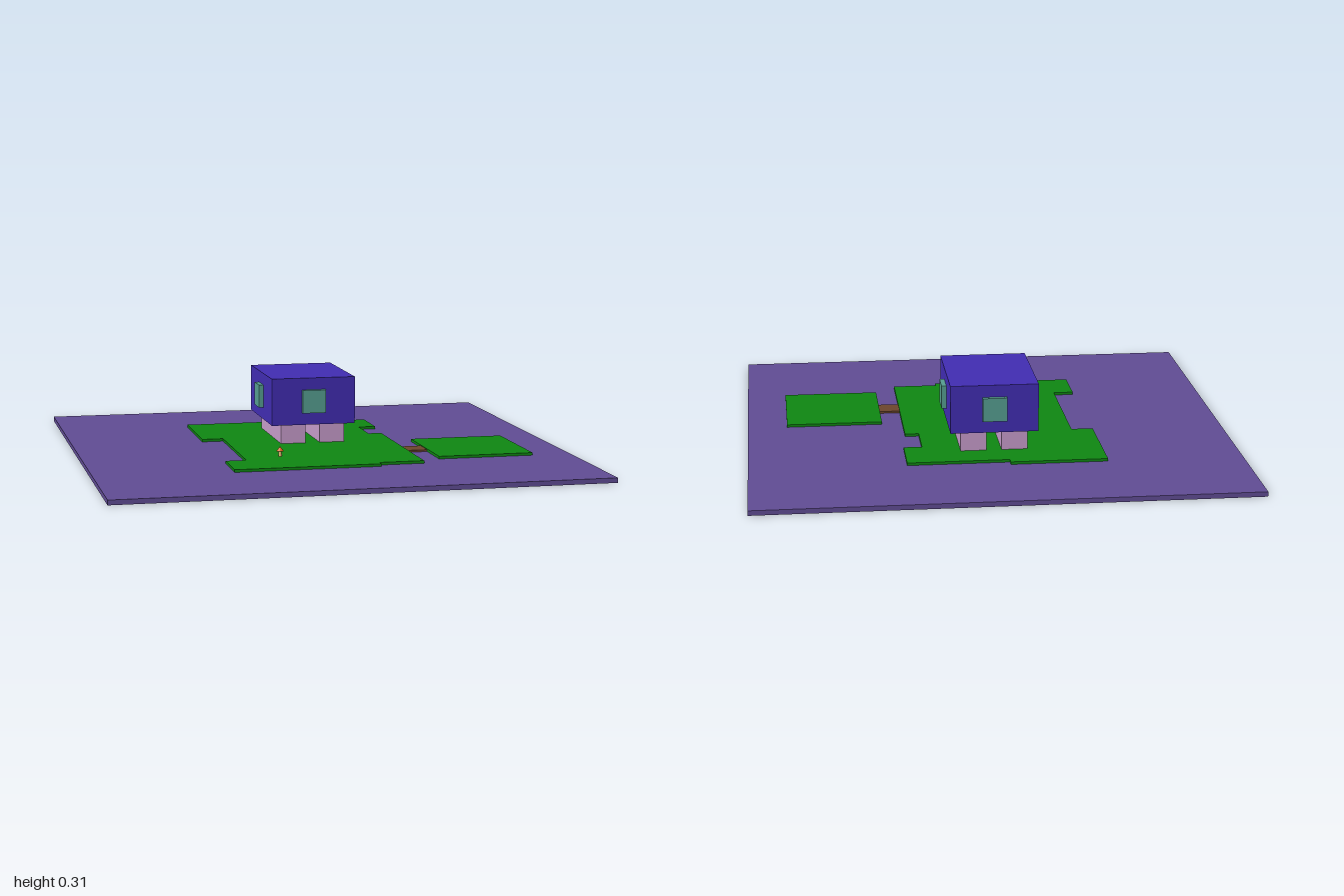
import * as THREE from 'three';

const mat = (color) => new THREE.MeshStandardMaterial({ color });

export function createModel() {
  const model = new THREE.Group();
  const sea = mat(0x5f4b92), grass = mat(0x0f8512), wall = mat(0x402cb0);
  const pink = mat(0xc49ac8), glass = mat(0x559c8f), wood = mat(0x6b452c);
  const cream = mat(0xe0c070), orange = mat(0xd9621a);

  function add(name, geometry, material, x = 0, y = 0, z = 0) {
    const mesh = new THREE.Mesh(geometry, material);
    mesh.name = name;
    mesh.position.set(x, y, z);
    model.add(mesh);
    return mesh;
  }

  // Box given by its lower and upper limits on each axis
  function box(name, material, [x0, x1], [y0, y1], [z0, z1]) {
    return add(name, new THREE.BoxGeometry(x1 - x0, y1 - y0, z1 - z0), material,
      (x0 + x1) / 2, (y0 + y1) / 2, (z0 + z1) / 2);
  }

  // Water slab
  box('water', sea, [-1, 1], [0, 0.02], [-1, 1]);

  // Main island: stepped outline in x, z
  const outline = [
    [-0.445, -0.57], [-0.05, -0.57], [-0.05, -0.54], [0.365, -0.54], [0.365, -0.34],
    [0.29, -0.34], [0.29, -0.165], [0.347, -0.165], [0.347, 0.53], [0.16, 0.53],
    [0.16, 0.56], [-0.44, 0.56], [-0.44, 0.36], [-0.355, 0.36], [-0.355, -0.17],
    [-0.445, -0.17],
  ];
  const shape = new THREE.Shape(outline.map(([x, z]) => new THREE.Vector2(x, -z)));
  const land = new THREE.ExtrudeGeometry(shape, { depth: 0.012, bevelEnabled: false });
  land.rotateX(-Math.PI / 2);
  add('mainIsland', land, grass, 0, 0.019, 0);

  // Small island and the bridge to it
  box('smallIsland', grass, [0.433, 0.835], [0.019, 0.031], [0.015, 0.45]);
  box('bridge', wood, [0.347, 0.433], [0.019, 0.028], [0.17, 0.27]);

  // House on two long supports
  const houseZ = -0.2;
  for (const side of [-1, 1]) {
    const support = box('support', pink, [-0.053, 0.053], [0.03, 0.113], [-0.41, 0.01]);
    support.position.x = side * 0.084;
  }
  box('house', wall, [-0.18, 0.18], [0.112, 0.312], [-0.43, 0.03]);

  // One protruding window on each wall
  for (const side of [-1, 1]) {
    add('endWindow', new THREE.BoxGeometry(0.1, 0.098, 0.03), glass,
      0, 0.213, houseZ + side * 0.235);
    add('sideWindow', new THREE.BoxGeometry(0.03, 0.098, 0.1), glass,
      side * 0.185, 0.213, houseZ);
  }

  // Little mushroom
  add('mushroomStem', new THREE.CylinderGeometry(0.007, 0.007, 0.025, 12), cream, -0.202, 0.042, 0.3);
  add('mushroomCap', new THREE.ConeGeometry(0.015, 0.02, 12), orange, -0.202, 0.062, 0.3);

  return model;
}
